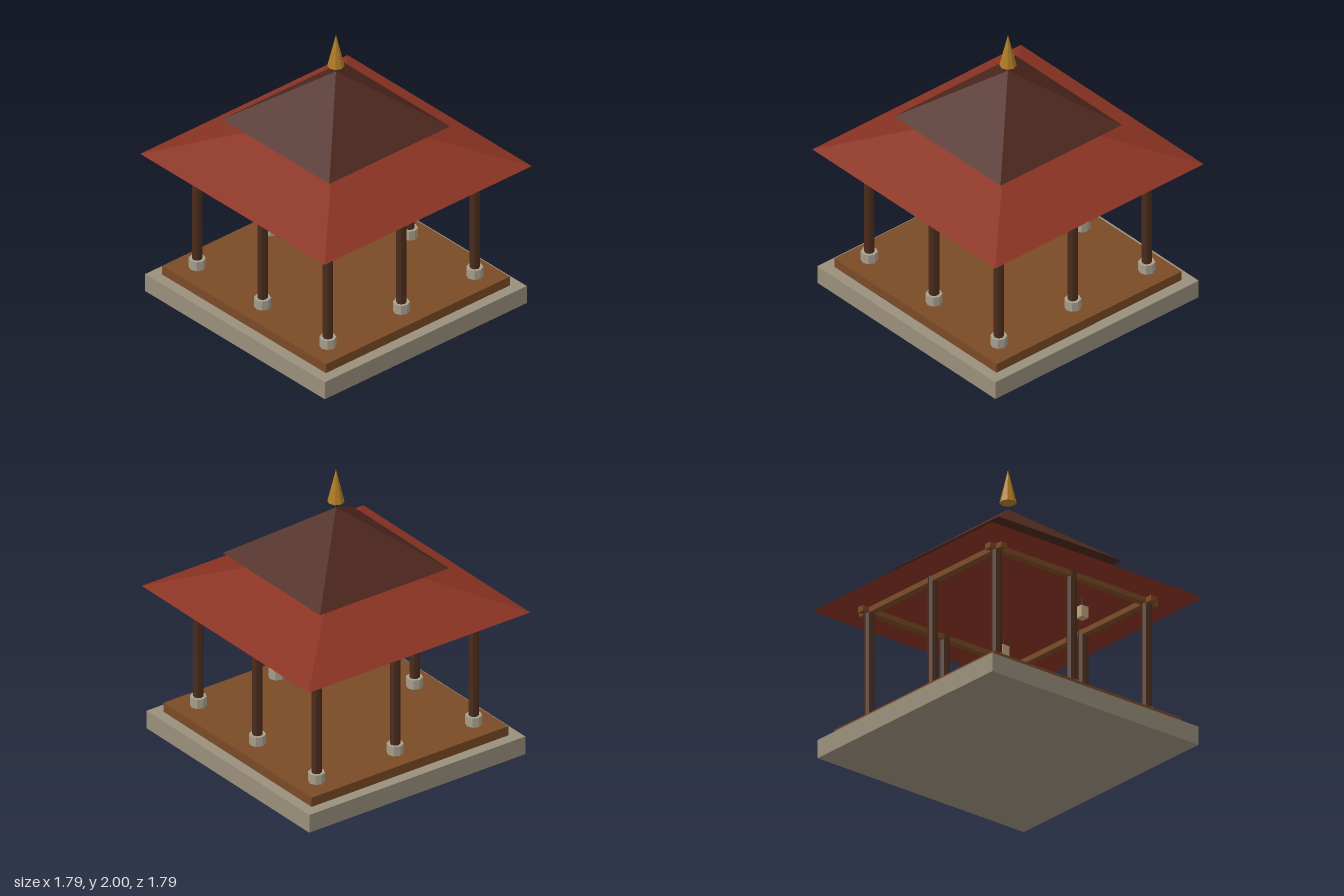
import * as THREE from 'three';

const paint = (color) => new THREE.MeshStandardMaterial({ color, flatShading: true });

export function createModel() {
  const pavilion = new THREE.Group();
  pavilion.name = 'pavilion';

  const stone = paint(0x9a8f7c), wood = paint(0x7a4a26), darkWood = paint(0x4a2c1c);
  const paleStone = paint(0xa8a08e), redTile = paint(0x8a3322), brownTile = paint(0x4e281e);
  const gold = paint(0xb07c24), paper = paint(0xbfa578), cord = paint(0x2a1c14);

  // Adds a mesh whose geometry is centred between heights y0 and y1
  const add = (name, geometry, material, x, y0, y1, z, parent = pavilion) => {
    const mesh = new THREE.Mesh(geometry, material);
    mesh.name = name;
    mesh.position.set(x, (y0 + y1) / 2, z);
    parent.add(mesh);
    return mesh;
  };
  const slab = (name, w, d, y0, y1, material, x = 0, z = 0, parent = pavilion) =>
    add(name, new THREE.BoxGeometry(w, y1 - y0, d), material, x, y0, y1, z, parent);
  const post = (name, r, y0, y1, sides, material, x, z, parent) =>
    add(name, new THREE.CylinderGeometry(r, r, y1 - y0, sides), material, x, y0, y1, z, parent);
  const pyramid = (name, half, y0, y1, material) =>
    add(name, new THREE.ConeGeometry(half * Math.SQRT2, y1 - y0, 4).rotateY(Math.PI / 4),
      material, 0, y0, y1, 0);

  // Stepped floor
  slab('stonePlatform', 1.74, 1.74, 0, 0.13, stone);
  slab('woodenDeck', 1.585, 1.585, 0.13, 0.197, wood);

  // Eight columns on octagonal footings around the edge
  const span = 0.633;
  for (const x of [-span, 0, span]) {
    for (const z of [-span, 0, span]) {
      if (x === 0 && z === 0) continue;
      const column = new THREE.Group();
      column.name = 'column';
      pavilion.add(column);
      post('columnFooting', 0.055, 0.197, 0.265, 8, paleStone, x, z, column);
      post('columnShaft', 0.034, 0.197, 1.045, 8, darkWood, x, z, column);
    }
  }

  // Ring beams crossing past each other at the corners
  for (const side of [-span, span]) {
    slab('beamAcross', 1.415, 0.05, 1.008, 1.052, wood, 0, side);
    slab('beamAlong', 0.05, 1.415, 1.008, 1.052, wood, side, 0);
  }

  // Two-tier roof
  pyramid('lowerRoof', 0.893, 1.045, 1.4, redTile);
  pyramid('upperRoof', 0.52, 1.328, 1.72, brownTile);

  // Floating spire
  add('finial', new THREE.ConeGeometry(0.056, 0.235, 8), gold, 0, 1.765, 2, 0);

  // Hanging lanterns
  for (const x of [-0.393, 0.393]) {
    const lantern = new THREE.Group();
    lantern.name = 'lantern';
    pavilion.add(lantern);
    slab('lanternBody', 0.058, 0.058, 0.895, 0.974, paper, x, 0.293, lantern);
    post('lanternCord', 0.004, 0.974, 1.046, 6, cord, x, 0.293, lantern);
  }

  return pavilion;
}
